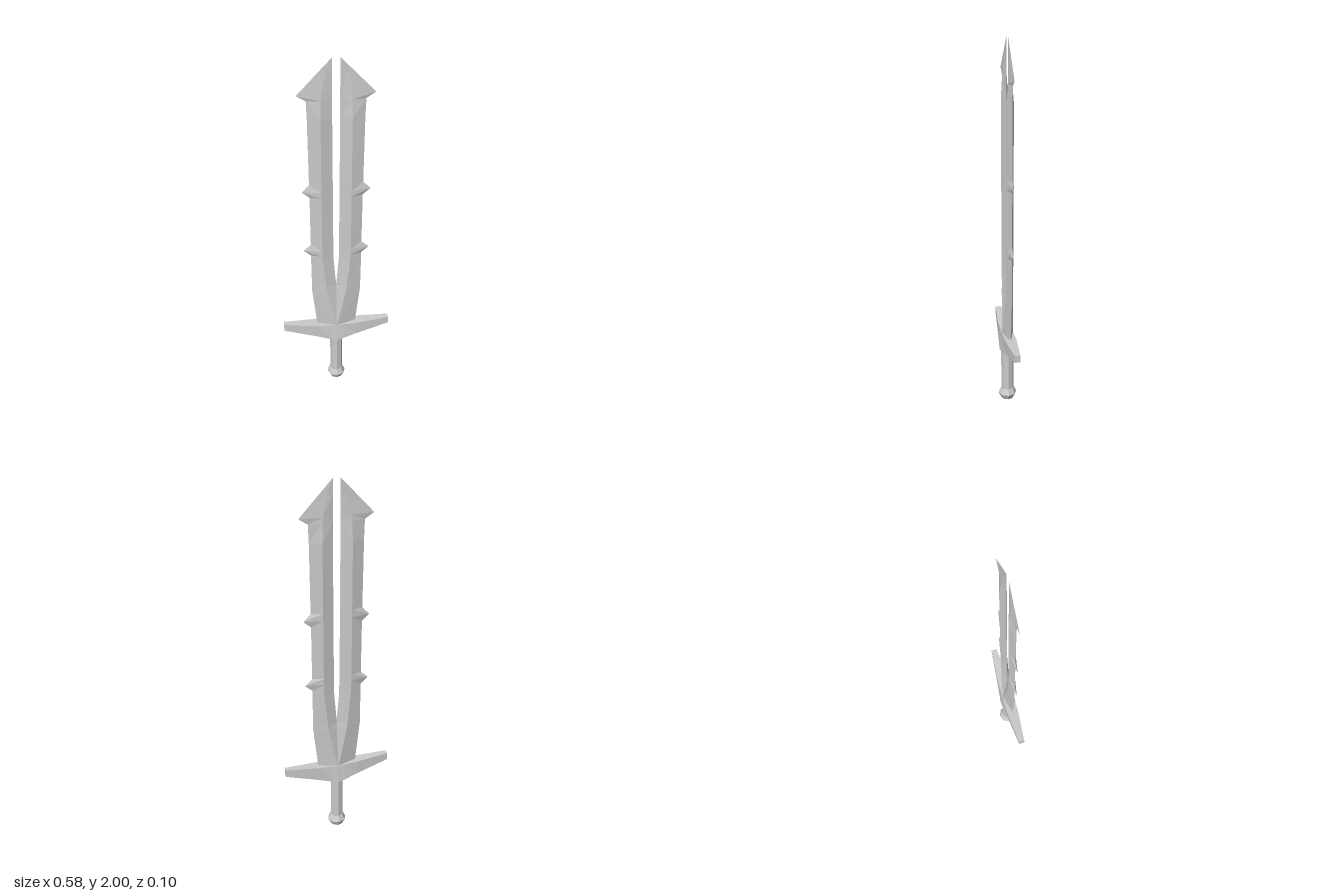
import * as THREE from 'three';

const material = new THREE.MeshStandardMaterial({ color: 0xcccccc, flatShading: true });

// Skin a list of equal-length rings (counter-clockwise seen from the far end) and cap both ends
function loft(rings, mirror = false) {
  const positions = [];
  const tri = (a, b, c) => {
    for (const p of mirror ? [a, c, b] : [a, b, c]) positions.push(mirror ? -p[0] : p[0], p[1], p[2]);
  };
  const n = rings[0].length;
  for (let i = 0; i < rings.length - 1; i++) {
    for (let j = 0; j < n; j++) {
      const k = (j + 1) % n;
      const lower = rings[i], upper = rings[i + 1];
      tri(lower[j], lower[k], upper[k]);
      tri(lower[j], upper[k], upper[j]);
    }
  }
  const first = rings[0], last = rings[rings.length - 1];
  for (let j = 1; j < n - 1; j++) {
    tri(first[0], first[j + 1], first[j]);
    tri(last[0], last[j], last[j + 1]);
  }
  const geometry = new THREE.BufferGeometry();
  geometry.setAttribute('position', new THREE.Float32BufferAttribute(positions, 3));
  geometry.computeVertexNormals();
  return geometry;
}

function addMesh(group, name, geometry) {
  const mesh = new THREE.Mesh(geometry, material);
  mesh.name = name;
  group.add(mesh);
  return mesh;
}

// One prong: y, inner edge x and half thickness, ridge x and half thickness, outer edge x
const bladeRows = [
  [0.39, 0, 0.03, 0, 0.03, 0.104],
  [0.64, 0, 0.006, 0.052, 0.021, 0.131],
  [0.67, 0, 0.002, 0.055, 0.02, 0.131],
  [0.85, 0.014, 0, 0.073, 0.018, 0.133],
  // lower spike
  [0.88, 0.014, 0, 0.074, 0.018, 0.133],
  [0.915, 0.015, 0, 0.075, 0.018, 0.172],
  [0.95, 0.015, 0, 0.075, 0.018, 0.133],
  // upper spike
  [1.245, 0.017, 0, 0.076, 0.018, 0.135],
  [1.28, 0.017, 0, 0.076, 0.018, 0.174],
  [1.32, 0.017, 0, 0.076, 0.018, 0.136],
  // barbed tip
  [1.69, 0.019, 0, 0.077, 0.018, 0.14],
  [1.785, 0.019, 0, 0.074, 0.011, 0.143],
  [1.815, 0.019, 0, 0.072, 0.009, 0.19],
  [1.92, 0.019, 0, 0.05, 0.002, 0.093],
  [2.0, 0.019, 0, 0.019, 0, 0.019],
];

// Guard: x, top y, bottom y, half depth at top, half depth at bottom
const guardHalf = [
  [0, 0.405, 0.305, 0.031, 0.043],
  [0.035, 0.406, 0.311, 0.031, 0.039],
  [0.11, 0.41, 0.333, 0.031, 0.031],
  [0.29, 0.42, 0.38, 0.015, 0.015],
];

export function createModel() {
  const sword = new THREE.Group();
  sword.name = 'sword';

  // Twin-pronged blade
  const bladeRings = bladeRows.map(([y, xi, zi, xr, zr, xo]) => [
    [xi, y, zi], [xr, y, zr], [xo, y, 0], [xr, y, -zr], [xi, y, -zi],
  ]);
  addMesh(sword, 'leftBladeProng', loft(bladeRings));
  addMesh(sword, 'rightBladeProng', loft(bladeRings, true));

  // Crossguard, mirrored about its middle
  const guardRows = [
    ...guardHalf.slice(1).reverse().map(([x, ...rest]) => [-x, ...rest]),
    ...guardHalf,
  ];
  addMesh(sword, 'crossguard', loft(guardRows.map(([x, top, bottom, zt, zb]) => [
    [x, bottom, -zb], [x, top, -zt], [x, top, zt], [x, bottom, zb],
  ])));

  // Grip
  const grip = addMesh(sword, 'grip', new THREE.CylinderGeometry(0.034, 0.034, 0.27, 8));
  grip.position.y = 0.19;

  // Faceted pommel
  const pommelProfile = [[0, 0], [0.034, 0.003], [0.05, 0.034], [0.037, 0.065], [0, 0.065]];
  addMesh(sword, 'pommel', new THREE.LatheGeometry(
    pommelProfile.map(([r, y]) => new THREE.Vector2(r, y)), 8));

  return sword;
}
